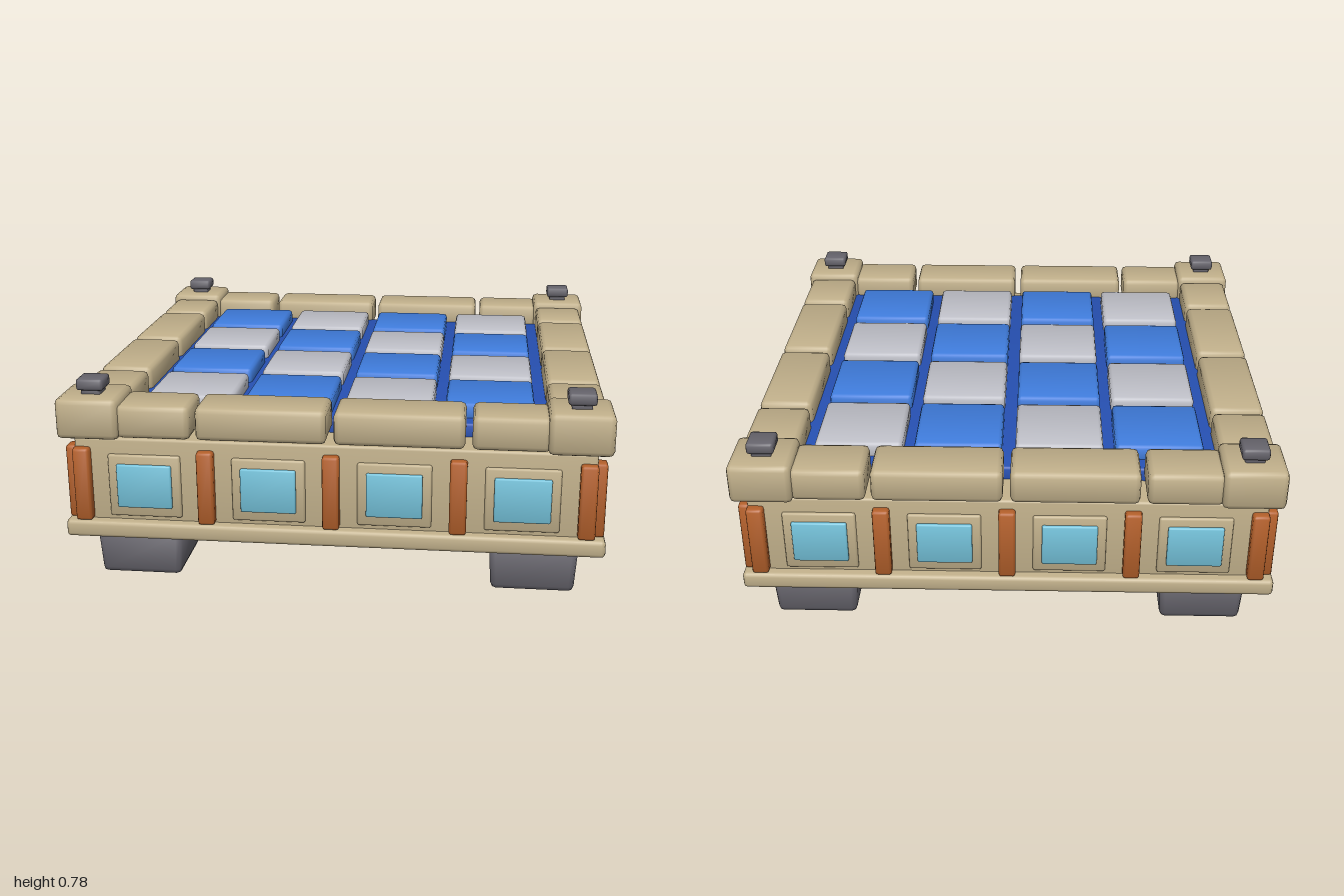
import * as THREE from 'three';
import { RoundedBoxGeometry } from 'three/addons/geometries/RoundedBoxGeometry.js';

const paint = (name, color) => {
  const m = new THREE.MeshStandardMaterial({ color });
  m.name = name;
  return m;
};

export function createModel() {
  const sandstone = paint('sandstone', 0xc0af8a);
  const darkStone = paint('darkStone', 0x66646c);
  const wood = paint('wood', 0xb4602a);
  const glass = paint('glass', 0x74c2da);
  const floorBlue = paint('floorBlue', 0x2650b2);
  const tileBlue = paint('tileBlue', 0x3f7cdc);
  const tileGrey = paint('tileGrey', 0xbfc0c8);

  const root = new THREE.Group();
  root.name = 'tiledPlatform';

  // Bevelled box given by its limits; soft tilts the normals for a pillowed look
  function block(parent, name, mat, [x0, x1], [y0, y1], [z0, z1], bevel = 0.015, soft = 0.35) {
    const g = new RoundedBoxGeometry(x1 - x0, y1 - y0, z1 - z0, 1, bevel);
    const p = g.attributes.position, n = g.attributes.normal, v = new THREE.Vector3();
    for (let i = 0; i < p.count; i++) {
      v.fromBufferAttribute(n, i);
      v.x += soft * Math.sign(p.getX(i));
      v.y += soft * Math.sign(p.getY(i));
      v.z += soft * Math.sign(p.getZ(i));
      v.normalize();
      n.setXYZ(i, v.x, v.y, v.z);
    }
    const mesh = new THREE.Mesh(g, mat);
    mesh.name = name;
    mesh.position.set((x0 + x1) / 2, (y0 + y1) / 2, (z0 + z1) / 2);
    parent.add(mesh);
    return mesh;
  }

  // Main body
  block(root, 'basePlate', sandstone, [-0.99, 0.99], [0.185, 0.25], [-0.99, 0.99], 0.015, 0.2);
  block(root, 'body', sandstone, [-0.95, 0.95], [0.2, 0.565], [-0.95, 0.95], 0.01, 0.15);
  block(root, 'floor', floorBlue, [-0.8, 0.8], [0.55, 0.615], [-0.8, 0.8], 0.01, 0.2);

  // Chequered floor tiles
  const centres = [-0.565, -0.19, 0.19, 0.565];
  centres.forEach((z, r) => centres.forEach((x, c) => {
    const blue = (r + c) % 2 === 0;
    block(root, blue ? 'blueTile' : 'greyTile', blue ? tileBlue : tileGrey,
      [x - 0.165, x + 0.165], [0.59, 0.67], [z - 0.165, z + 0.165], 0.015, 0.4);
  }));

  // Four identical walls: posts, windows and coping stones
  for (let k = 0; k < 4; k++) {
    const wall = new THREE.Group();
    wall.name = 'wall';
    wall.rotation.y = k * Math.PI / 2;
    root.add(wall);

    for (const x of [-0.92, -0.46, 0, 0.46, 0.92]) {
      block(wall, 'post', wood, [x - 0.031, x + 0.031], [0.25, 0.53], [0.93, 0.985], 0.01);
    }
    for (const x of [-0.69, -0.23, 0.23, 0.69]) {
      block(wall, 'windowFrame', sandstone, [x - 0.135, x + 0.135], [0.265, 0.505], [0.94, 0.962], 0.008, 0.3);
      block(wall, 'windowPane', glass, [x - 0.102, x + 0.102], [0.303, 0.47], [0.955, 0.974], 0.006, 0.3);
    }
    for (const span of [[-0.78, -0.51], [-0.49, -0.015], [0.012, 0.48], [0.505, 0.78]]) {
      block(wall, 'copingStone', sandstone, span, [0.575, 0.7], [0.78, 0.985], 0.02);
    }
  }

  // Corner stones, their studs, and the feet
  const around = (c, h) => [c - h, c + h];
  for (const sx of [-1, 1]) for (const sz of [-1, 1]) {
    block(root, 'cornerStone', sandstone, around(sx * 0.885, 0.115), [0.57, 0.722], around(sz * 0.885, 0.115), 0.02);
    block(root, 'studNeck', darkStone, around(sx * 0.885, 0.036), [0.71, 0.75], around(sz * 0.885, 0.036), 0.005);
    block(root, 'studCap', darkStone, around(sx * 0.885, 0.05), [0.737, 0.78], around(sz * 0.885, 0.05), 0.01);

    const foot = block(root, 'foot', darkStone, around(sx * 0.74, 0.162), [0, 0.178], around(sz * 0.74, 0.162), 0.022, 0.45);
    // Feet narrow slightly towards the ground
    const p = foot.geometry.attributes.position;
    for (let i = 0; i < p.count; i++) {
      const s = p.getY(i) < 0 ? 0.95 : 1;
      p.setX(i, p.getX(i) * s);
      p.setZ(i, p.getZ(i) * s);
    }
  }

  return root;
}
